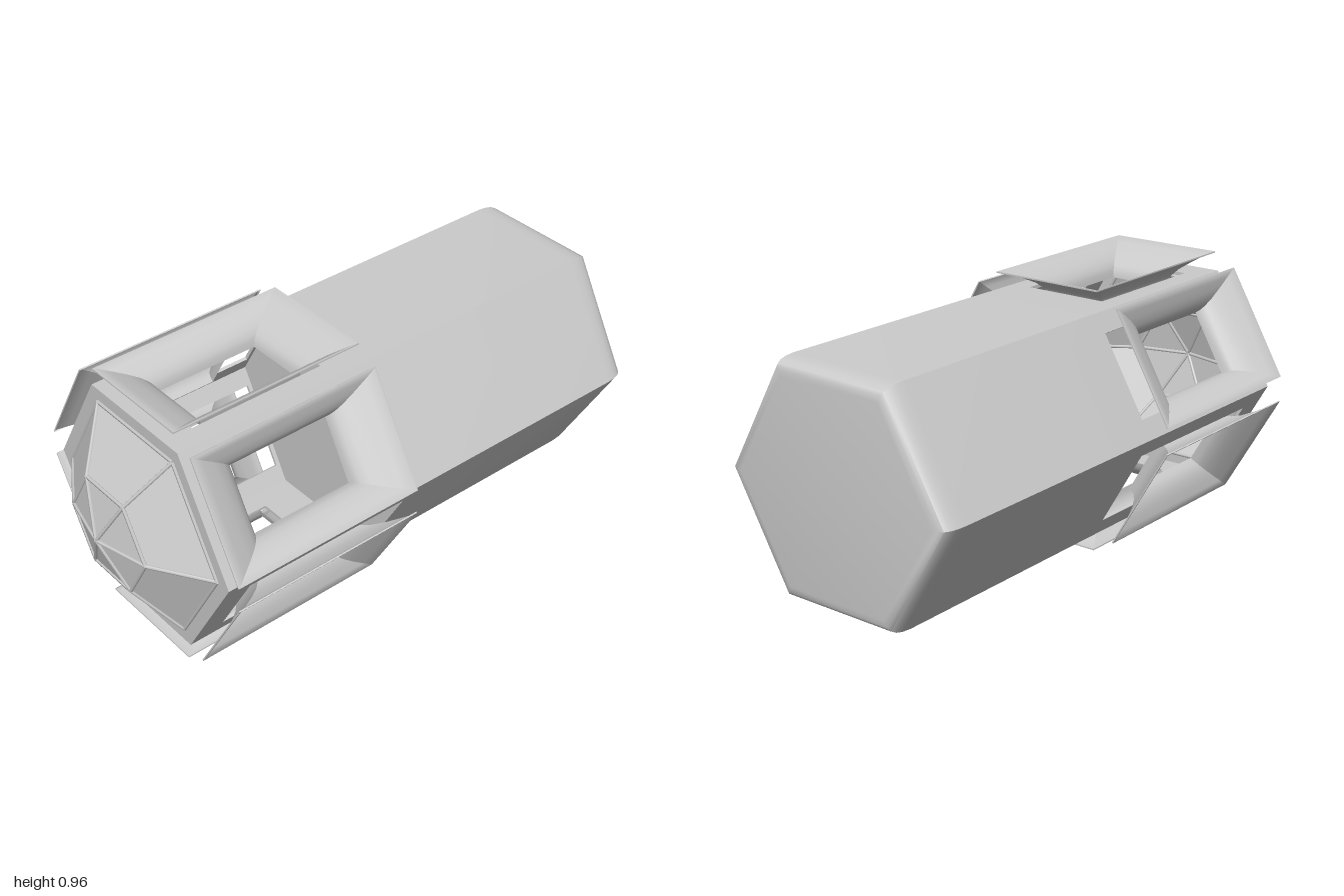
import * as THREE from 'three';
import { toCreasedNormals } from 'three/addons/utils/BufferGeometryUtils.js';

const CENTRE_Y = 0.482;
const RADIUS = 0.47;
const APOTHEM = RADIUS * Math.cos(Math.PI / 6);
const mat = new THREE.MeshStandardMaterial({ color: 0xcccccc, side: THREE.DoubleSide });

function mesh(name, geometry, parent) {
  const m = new THREE.Mesh(geometry, mat);
  m.name = name;
  parent.add(m);
  return m;
}

// Skin a list of closed rings (arrays of Vector3) with quads.
function loft(rings, crease) {
  const n = rings[0].length, pos = [], index = [];
  rings.forEach(r => r.forEach(p => pos.push(p.x, p.y, p.z)));
  for (let j = 0; j < rings.length - 1; j++) {
    for (let i = 0; i < n; i++) {
      const a = j * n + i, d = j * n + (i + 1) % n;
      index.push(a, a + n, d + n, a, d + n, d);
    }
  }
  const g = new THREE.BufferGeometry();
  g.setAttribute('position', new THREE.Float32BufferAttribute(pos, 3));
  g.setIndex(index);
  return toCreasedNormals(g, crease);
}

// Hexagon across the x axis, corners on +z and -z.
function hexRing(x, r) {
  return Array.from({ length: 6 }, (_, i) =>
    new THREE.Vector3(x, r * Math.sin(i * Math.PI / 3), r * Math.cos(i * Math.PI / 3)));
}

// Rectangle lying in a window face at distance d from the axis.
function frameRing(t, d) {
  const hx = 0.3725 - 0.1725 * t, hz = 0.22 - 0.1 * t;
  return [[-1, -1], [-1, 1], [1, 1], [1, -1]].map(([sx, sz]) =>
    new THREE.Vector3(-0.4475 + sx * hx, d, sz * hz));
}

function rectPath(P, x0, x1, h) {
  const p = new P();
  p.moveTo(x0, -h);
  p.lineTo(x1, -h);
  p.lineTo(x1, h);
  p.lineTo(x0, h);
  p.closePath();
  return p;
}

// Hull side with a cut-out behind the window frame.
function hullPanel(openingEnd) {
  const shape = rectPath(THREE.Shape, -0.82, -0.04, RADIUS / 2);
  shape.holes.push(rectPath(THREE.Path, -0.71, openingEnd, 0.16));
  const g = new THREE.ExtrudeGeometry(shape, { depth: 0.012, bevelEnabled: false });
  return g.rotateX(-Math.PI / 2).translate(0, APOTHEM - 0.012, 0);
}

function rib(a, b, parent) {
  const dir = b.clone().sub(a);
  const m = mesh('domeRib', new THREE.CylinderGeometry(0.007, 0.007, dir.length(), 6), parent);
  m.position.copy(a).addScaledVector(dir, 0.5);
  m.quaternion.setFromUnitVectors(new THREE.Vector3(0, 1, 0), dir.normalize());
}

export function createModel() {
  const model = new THREE.Group();
  const body = new THREE.Group();
  body.name = 'body';
  body.position.y = CENTRE_Y;
  model.add(body);

  // Closed main hull with a bulkhead and a softly rounded far end
  const hull = [[-0.04, 0], [-0.04, RADIUS], [0.91, RADIUS], [0.945, 0.467],
    [0.97, 0.461], [0.988, 0.45], [0.997, 0.435], [1, 0.41], [1, 0]];
  mesh('mainHull', loft(hull.map(([x, r]) => hexRing(x, r)), 0.6), body);

  // Six window bays around the hollow section
  const flare = [[0, 0.473], [0, 0.478], [0.03, 0.478], [0.25, 0.463], [0.5, 0.445],
    [0.75, 0.423], [0.9, 0.402], [0.97, 0.385], [1, 0.36]];
  const flareGeometry = loft(flare.map(([t, d]) => frameRing(t, d)), 0.6);
  for (let k = 0; k < 6; k++) {
    const bay = new THREE.Group();
    bay.name = 'windowBay';
    bay.rotation.x = k * Math.PI / 3;
    const wide = k === 2 || k > 3;
    mesh('hullPanel', hullPanel(wide ? -0.055 : -0.19), bay);
    mesh('windowFrame', flareGeometry, bay);
    body.add(bay);
  }

  // Hexagonal nose dome
  const nose = [[-1, 0], [-0.95, 0.205], [-0.82, 0.41], [-0.82, RADIUS]];
  const rings = nose.map(([x, r]) => hexRing(x, r));
  mesh('noseDome', loft(rings, 0.1), body);

  // Ribs along the dome edges
  const [tip, mid, base] = rings;
  for (let i = 0; i < 6; i++) {
    const next = (i + 1) % 6;
    rib(tip[i], mid[i], body);
    rib(mid[i], base[i], body);
    rib(mid[i], mid[next], body);
    rib(base[i], base[next], body);
  }

  // Centre the length on x = 0
  const box = new THREE.Box3().setFromObject(model);
  body.position.x = -(box.min.x + box.max.x) / 2;
  return model;
}
